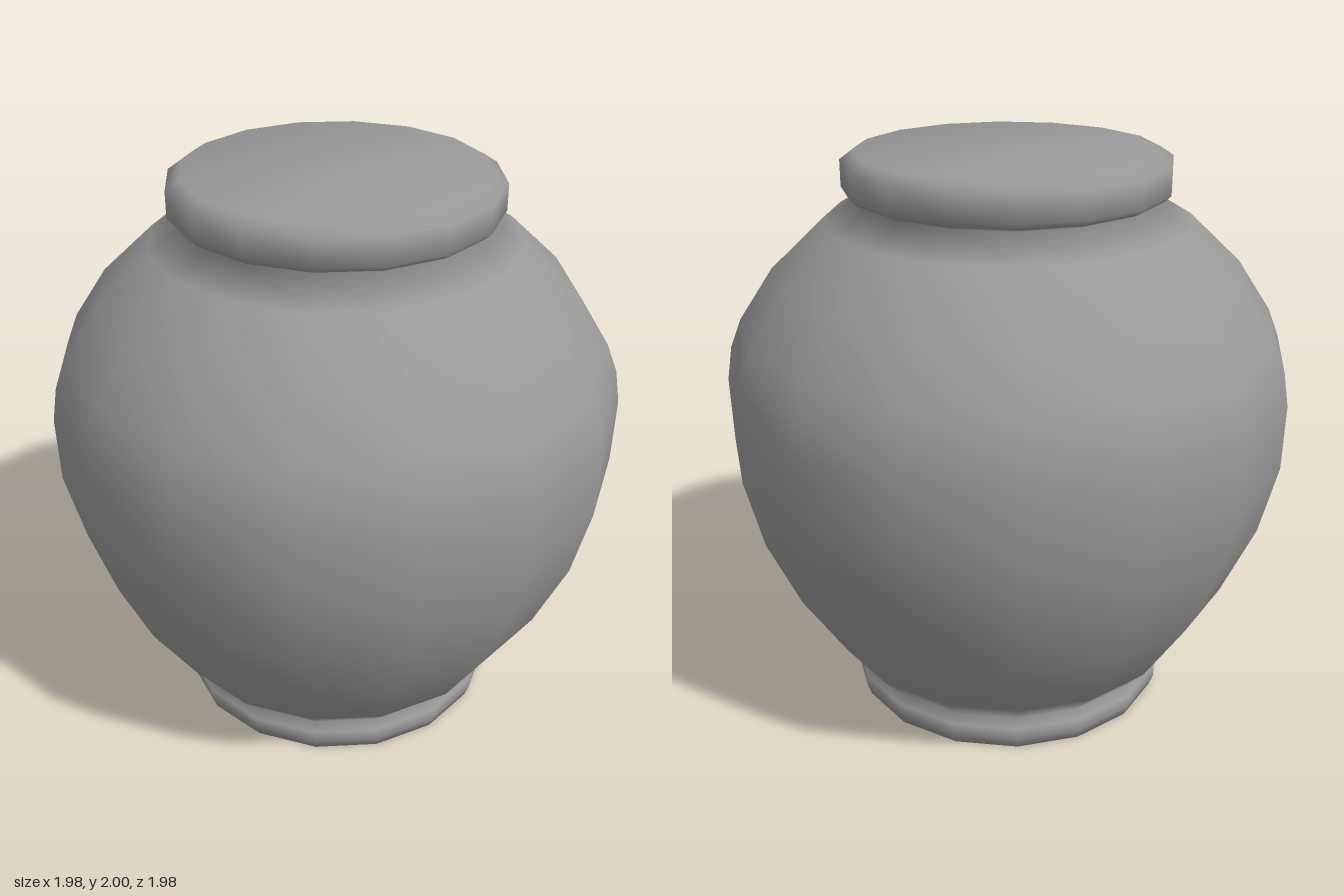
import * as THREE from 'three';

const SIDES = 16;

// Outline as [radius, height], from the centre of the base to the centre of the top
const foot = [[0, 0], [0.57, 0], [0.585, 0.04], [0.585, 0.085], [0.55, 0.105]];
const belly = [
  [0.65, 0.21], [0.81, 0.46], [0.925, 0.72], [0.985, 0.97], [0.99, 1.2],
  [0.97, 1.32], [0.93, 1.42], [0.81, 1.6], [0.63, 1.77], [0.505, 1.845],
];
const rim = [[0.54, 1.86], [0.56, 1.88], [0.56, 1.97], [0.515, 2], [0, 2]];

// Lathe whose normals blend neighbouring bands equally, whatever their height
function softLathe(points) {
  const geometry = new THREE.LatheGeometry(points, SIDES);
  const bands = points.slice(1).map((p, i) =>
    new THREE.Vector2(p.y - points[i].y, points[i].x - p.x).normalize());
  const normals = points.map((p, i) =>
    (bands[i - 1] ?? bands[i]).clone().add(bands[i] ?? bands[i - 1]).normalize());
  const attribute = geometry.attributes.normal;
  for (let s = 0; s <= SIDES; s++) {
    const angle = (s / SIDES) * Math.PI * 2;
    normals.forEach((n, j) => attribute.setXYZ(
      s * points.length + j, n.x * Math.sin(angle), n.y, n.x * Math.cos(angle)));
  }
  return geometry;
}

export function createModel() {
  const group = new THREE.Group();
  group.name = 'jar';

  // Foot, belly and closed rim turned as one continuous smooth surface
  const profile = [...foot, ...belly, ...rim].map(([r, y]) => new THREE.Vector2(r, y));
  const body = new THREE.Mesh(
    softLathe(profile),
    new THREE.MeshStandardMaterial({ color: 0x999999 })
  );
  body.name = 'jarBody';
  group.add(body);

  return group;
}
